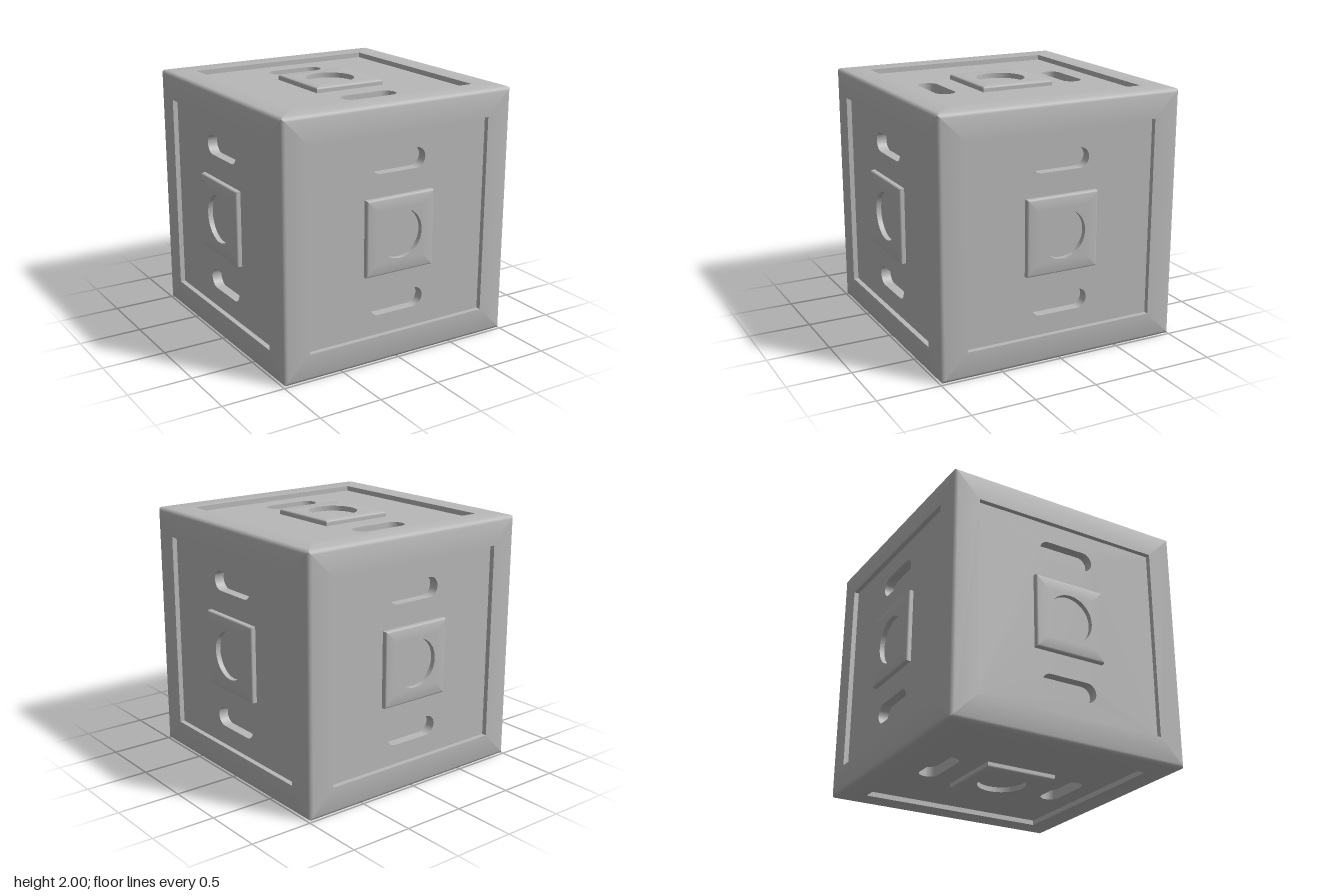
import * as THREE from 'three';

const grey = new THREE.MeshStandardMaterial({ color: 0xb8b8b8 });
const FLOOR = 0.96, SLOT_FLOOR = 0.88;

// Square strips running outward through rings of [half size, height, normal tilt in degrees]
function squareRings(rings) {
  const pos = [], nor = [];
  for (let i = 0; i + 1 < rings.length; i++) {
    const [a, b] = [rings[i], rings[i + 1]];
    for (let side = 0; side < 4; side++) {
      const turn = new THREE.Matrix4().makeRotationZ(side * Math.PI / 2);
      const corner = (r, x) => {
        const t = THREE.MathUtils.degToRad(r[2]);
        pos.push(...new THREE.Vector3(x * r[0], -r[0], r[1]).applyMatrix4(turn).toArray());
        nor.push(...new THREE.Vector3(0, -Math.sin(t), Math.cos(t)).applyMatrix4(turn).toArray());
      };
      corner(a, -1); corner(b, -1); corner(b, 1);
      corner(a, -1); corner(b, 1); corner(a, 1);
    }
  }
  const g = new THREE.BufferGeometry();
  g.setAttribute('position', new THREE.Float32BufferAttribute(pos, 3));
  g.setAttribute('normal', new THREE.Float32BufferAttribute(nor, 3));
  return g;
}

// Rings of a rounded edge of radius r, around a square of half size s ending at height h
function roundedEdge(s, h, r, endAngle, steps) {
  const rings = [];
  for (let i = 0; i <= steps; i++) {
    const deg = endAngle * i / steps, t = THREE.MathUtils.degToRad(deg);
    rings.push([s - r + r * Math.sin(t), h - r + r * Math.cos(t), Math.max(deg, 10)]);
  }
  return rings;
}

function squareShape(s) {
  return new THREE.Shape([[-s, -s], [s, -s], [s, s], [-s, s]].map(p => new THREE.Vector2(...p)));
}

function slotPath(cy) {
  const r = 0.078, dx = 0.235 - r;
  const p = new THREE.Path();
  p.absarc(dx, cy, r, -Math.PI / 2, Math.PI / 2, false);
  p.absarc(-dx, cy, r, Math.PI / 2, Math.PI * 1.5, false);
  p.closePath();
  return p;
}

function createFace() {
  const face = new THREE.Group();
  const add = (name, geometry, z = 0) => {
    const m = new THREE.Mesh(geometry, grey);
    m.name = name;
    m.position.z = z;
    face.add(m);
  };

  // Raised border with a rounded outer edge, and the step down to the panel
  add('border', squareRings([[0.785, 1, 0], ...roundedEdge(1, 1, 0.04, 45, 4)]));
  add('borderStep', squareRings([[0.785, FLOOR, -90], [0.785, 1, -90]]));

  // Sunken panel with two slots cut in it
  const panel = squareShape(0.785);
  panel.holes.push(slotPath(0.552), slotPath(-0.552));
  add('panel', new THREE.ExtrudeGeometry(panel, {
    depth: FLOOR - SLOT_FLOOR, bevelEnabled: false, curveSegments: 16,
  }), SLOT_FLOOR);
  for (const y of [0.552, -0.552]) {
    const slotFloor = new THREE.PlaneGeometry(0.5, 0.18);
    slotFloor.translate(0, y, SLOT_FLOOR + 0.001);
    add('slotFloor', slotFloor);
  }

  // Central plate with soft edges and a round socket
  add('plateRim', squareRings([[0.2, 1, 0], ...roundedEdge(0.297, 1, 0.015, 90, 4), [0.297, FLOOR, 90]]));
  const top = squareShape(0.2);
  top.holes.push(new THREE.Path().absarc(0, 0, 0.19, 0, Math.PI * 2, true));
  add('plateTop', new THREE.ExtrudeGeometry(top, {
    depth: 1 - FLOOR, bevelEnabled: false, curveSegments: 48,
  }), FLOOR);
  return face;
}

export function createModel() {
  const model = new THREE.Group();
  const turns = {
    front: [0, 0], left: [0, Math.PI / 2], back: [0, Math.PI], right: [0, -Math.PI / 2],
    top: [-Math.PI / 2, 0], bottom: [Math.PI / 2, 0],
  };
  for (const [name, [rx, ry]] of Object.entries(turns)) {
    const face = createFace();
    face.name = name + 'Face';
    face.rotation.set(rx, ry, 0);
    face.position.y = 1;
    model.add(face);
  }
  return model;
}
